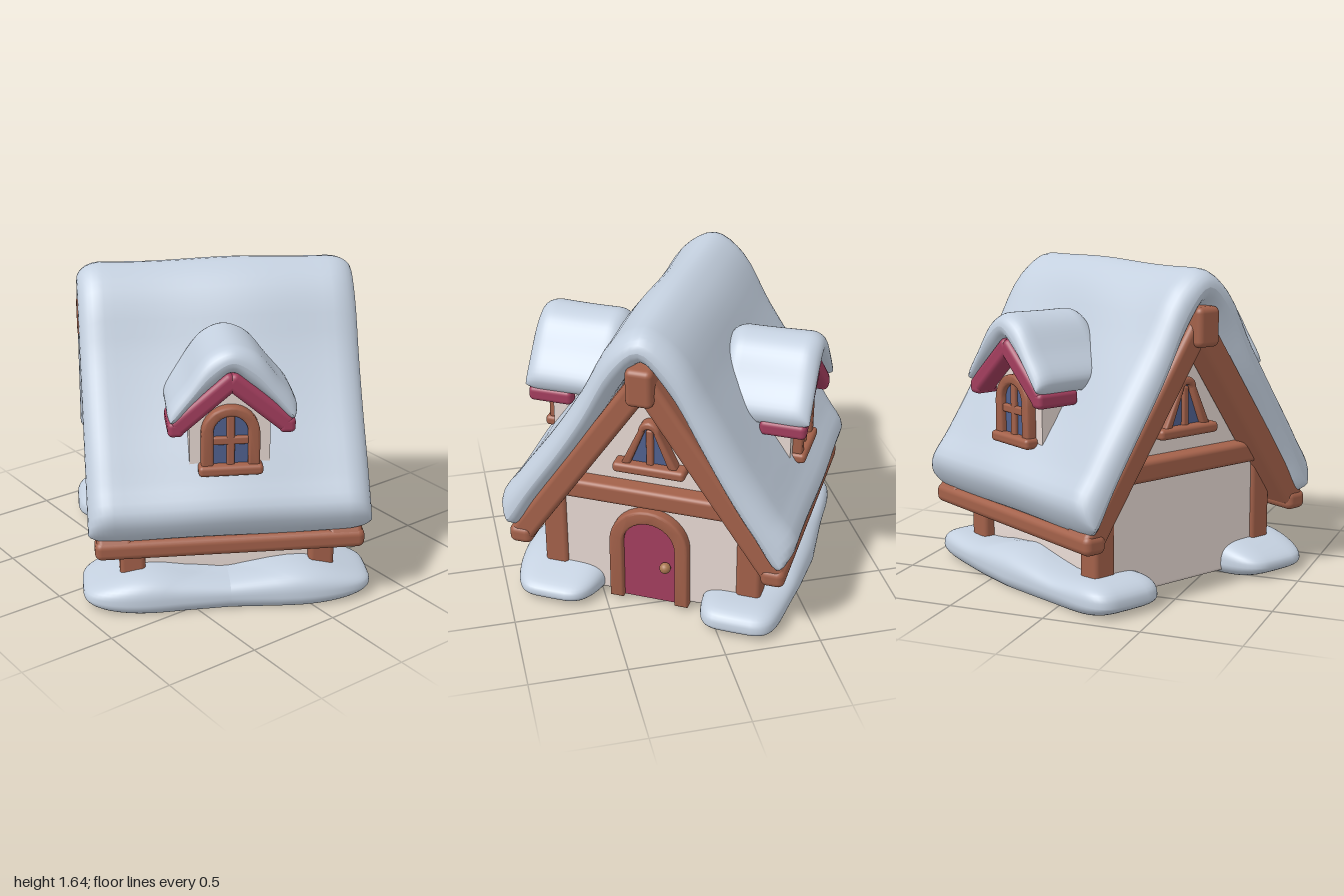
import * as THREE from 'three';
import { toCreasedNormals } from 'three/addons/utils/BufferGeometryUtils.js';
import { RoundedBoxGeometry } from 'three/addons/geometries/RoundedBoxGeometry.js';

const material = (name, color) => Object.assign(new THREE.MeshStandardMaterial({ color }), { name });
const M = {
  snow: material('snow', 0xc4d0df),
  wood: material('wood', 0xa3614a),
  red: material('red paint', 0xa33e5e),
  plaster: material('plaster', 0xe6d8d2),
  glass: material('blue glass', 0x50618f),
  brass: material('brass', 0xa8764f),
};

function add(parent, name, geometry, mat, x = 0, y = 0, z = 0) {
  const mesh = new THREE.Mesh(geometry, mat);
  mesh.name = name;
  mesh.position.set(x, y, z);
  parent.add(mesh);
  return mesh;
}

const box = (w, h, d, r = 0.025) => new RoundedBoxGeometry(w, h, d, 3, r);

// Beam lying in the xy plane between two points
function beam(parent, name, mat, x0, y0, x1, y1, thick, depth, z) {
  const len = Math.hypot(x1 - x0, y1 - y0) + thick * 0.5;
  const m = add(parent, name, box(len, thick, depth, 0.03), mat, (x0 + x1) / 2, (y0 + y1) / 2, z);
  m.rotation.z = Math.atan2(y1 - y0, x1 - x0);
}

// Points up one side of a round-topped opening and down the other; taper narrows the top
function archPoints(half, y0, top, taper = 1) {
  const r = half * taper, pts = [[half, y0]];
  for (let i = 0; i <= 16; i++) {
    const a = i / 16 * Math.PI;
    pts.push([r * Math.cos(a), top - r + r * Math.sin(a)]);
  }
  pts.push([-half, y0]);
  return pts;
}

const polygon = (pts) => new THREE.Shape(pts.map(([x, y]) => new THREE.Vector2(x, y)));

function extrude(pts, z0, z1, bevel = 0) {
  const g = new THREE.ExtrudeGeometry(polygon(pts), {
    depth: z1 - z0 - 2 * bevel, bevelEnabled: bevel > 0,
    bevelSize: bevel, bevelThickness: bevel, bevelOffset: -bevel, bevelSegments: 3,
  });
  g.translate(0, 0, z0 + bevel);
  return toCreasedNormals(g, 0.7);
}

// Frame open at the bottom: outer arch, then back along the inner arch
const frame = (outer, inner, z0, z1) => extrude([...outer, ...inner.reverse()], z0, z1, 0.013);

// Soft snow slab: a mirrored section swept along z, thinning to rounded ends
function snowSlab(outer, inner, z0, z1, r, wobble) {
  const right = [...outer, ...inner];
  const left = right.slice(1, -1).filter(([x]) => x > 0).reverse().map(([x, y]) => [-x, y]);
  const curve = new THREE.CatmullRomCurve3(
    [...right, ...left].map(([x, y]) => new THREE.Vector3(x, y, 0)), true);
  const N = 88, CAP = 7, rings = [];
  for (let i = 0; i <= CAP; i++) {
    const a = (i / CAP) * Math.PI / 2;
    rings.push([z0 + r - r * Math.cos(a), Math.sin(a)]);
  }
  for (let i = 1; i < 24; i++) rings.push([z0 + r + (z1 - z0 - 2 * r) * i / 24, 1]);
  for (let i = 0; i <= CAP; i++) {
    const a = (i / CAP) * Math.PI / 2;
    rings.push([z1 - r + r * Math.sin(a), Math.cos(a)]);
  }
  const pos = [], index = [];
  rings.forEach(([z, s], j) => {
    for (let i = 0; i < N; i++) {
      const t = i / N, p = curve.getPoint(t), q = curve.getPoint((1.5 - t) % 1);
      const mid = p.clone().add(q).multiplyScalar(0.5);
      p.lerp(mid, 1 - s);
      p.x *= 1 - 0.04 * (1 - s);
      const n = wobble * Math.sin(4 * p.x + 4 * z + 1) * Math.cos(4 * p.y - 3 * z);
      pos.push(p.x + n * Math.sign(p.x) * Math.min(1, Math.abs(p.x) * 5), p.y + n, z);
      if (j < rings.length - 1) {
        const a = j * N + i, b = j * N + (i + 1) % N;
        index.push(a, a + N, b, b, a + N, b + N);
      }
    }
  });
  const g = new THREE.BufferGeometry();
  g.setAttribute('position', new THREE.Float32BufferAttribute(pos, 3));
  g.setIndex(index);
  g.computeVertexNormals();
  return g;
}

// Low snow drift with a rounded oblong footprint and flat base
function snowDrift(phase) {
  const g = new THREE.SphereGeometry(1, 64, 28), p = g.attributes.position;
  const pw = (v, e) => Math.sign(v) * Math.abs(v) ** e;
  for (let i = 0; i < p.count; i++) {
    const y = p.getY(i), h = Math.sqrt(Math.max(0, 1 - y * y)) || 1;
    const plan = Math.abs(y) > 0.999 ? 0 : h ** 0.55;
    const z = pw(p.getZ(i) / h, 0.45) * plan * 0.745;
    const x = pw(p.getX(i) / h, 0.45) * plan * (0.245 + 0.015 * Math.sin(7 * z + phase));
    const top = 0.11 + 0.025 * Math.sin(8 * z + phase);
    p.setXYZ(i, x, 0.06 + (y > 0 ? y ** 0.75 * top : Math.max(y * 1.6, -1) * 0.06), z);
  }
  g.computeVertexNormals();
  return g;
}

// Timber gable with its small window; faces +z
function gable() {
  const g = new THREE.Group();
  g.name = 'gable';
  for (const s of [-1, 1]) {
    beam(g, 'rafter', M.wood, 0, 1.36, s * 0.675, 0.37, 0.125, 0.18, 0.58);
    add(g, 'cornerPost', box(0.13, 0.6, 0.13), M.wood, s * 0.525, 0.31, 0.488);
  }
  add(g, 'lowerWall', box(1.0, 0.6, 0.1, 0.02), M.plaster, 0, 0.32, 0.487);
  add(g, 'crossBeam', box(1.0, 0.11, 0.13), M.wood, 0, 0.65, 0.525);
  add(g, 'gableWindowFrame', frame(archPoints(0.155, 0.82, 1.09, 0.36), archPoints(0.108, 0.82, 1.05, 0.26), 0.47, 0.56), M.wood);
  add(g, 'gableWindowPane', extrude(archPoints(0.115, 0.82, 1.055, 0.3), 0.517, 0.525), M.glass);
  add(g, 'gableMullion', box(0.036, 0.22, 0.03, 0.01), M.wood, 0, 0.93, 0.53);
  add(g, 'gableSill', box(0.38, 0.055, 0.1, 0.02), M.wood, 0, 0.815, 0.53);
  return g;
}

// Roof dormer; faces +z
function dormer() {
  const g = new THREE.Group();
  g.name = 'dormer';
  add(g, 'dormerWall', extrude([[-0.2, 0.7], [0.2, 0.7], [0.2, 1.06], [0, 1.25], [-0.2, 1.06]], 0.25, 0.645), M.plaster);
  add(g, 'dormerWindowFrame', frame(archPoints(0.145, 0.77, 1.1), archPoints(0.086, 0.77, 1.05), 0.61, 0.695), M.wood);
  add(g, 'dormerPane', extrude(archPoints(0.1, 0.77, 1.058), 0.658, 0.666), M.glass);
  add(g, 'dormerMullion', box(0.04, 0.28, 0.03, 0.01), M.wood, 0, 0.915, 0.671);
  add(g, 'dormerCrossbar', box(0.18, 0.042, 0.03, 0.01), M.wood, 0, 0.92, 0.671);
  add(g, 'dormerSill', box(0.32, 0.055, 0.1, 0.02), M.wood, 0, 0.768, 0.665);
  for (const s of [-1, 1]) {
    beam(g, 'dormerTrim', M.red, 0, 1.245, s * 0.265, 1.02, 0.095, 0.12, 0.68);
    add(g, 'dormerEaveTrim', box(0.08, 0.08, 0.24), M.red, s * 0.272, 1.01, 0.62);
  }
  add(g, 'dormerSnow', snowSlab(
    [[0, 1.41], [0.11, 1.37], [0.22, 1.235], [0.315, 1.1]],
    [[0.29, 1.035], [0.19, 1.125], [0.09, 1.21], [0, 1.275]], 0.27, 0.755, 0.085, 0.008), M.snow);
  return g;
}

export function createModel() {
  const model = new THREE.Group();
  model.name = 'snowyCottage';
  const house = new THREE.Group();
  house.name = 'house';
  house.rotation.y = 1.05;
  model.add(house);

  // Walls and roof
  add(house, 'walls', extrude([[-0.53, 0.02], [0.53, 0.02], [0.53, 0.56], [0, 1.38], [-0.53, 0.56]], -0.5, 0.5), M.plaster);
  add(house, 'ridgeBeam', box(0.14, 0.2, 1.43, 0.03), M.wood, 0, 1.355, 0);
  add(house, 'roofSnow', snowSlab(
    [[0, 1.635], [0.165, 1.54], [0.33, 1.265], [0.515, 0.965], [0.68, 0.72], [0.78, 0.56]],
    [[0.69, 0.405], [0.58, 0.57], [0.44, 0.79], [0.28, 1.05], [0.12, 1.32], [0, 1.46]], -0.71, 0.71, 0.13, 0.01), M.snow);

  // Mirrored ends and sides
  for (const s of [-1, 1]) {
    const end = gable();
    end.rotation.y = s > 0 ? 0 : Math.PI;
    const side = dormer();
    side.rotation.y = s * Math.PI / 2;
    house.add(end, side);
    add(house, 'eaveBeam', box(0.125, 0.1, 1.36, 0.035), M.wood, s * 0.675, 0.365, 0);
    add(house, 'snowDrift', snowDrift(s * 1.3), M.snow, s * 0.5, 0, 0);
  }

  // Door
  add(house, 'doorFrame', frame(archPoints(0.213, 0.02, 0.58), archPoints(0.14, 0.02, 0.505), 0.5, 0.592), M.wood);
  add(house, 'door', extrude(archPoints(0.148, 0.02, 0.51), 0.5, 0.557), M.red);
  add(house, 'doorKnob', new THREE.SphereGeometry(0.03, 16, 12), M.brass, 0.09, 0.25, 0.58);
  return model;
}
